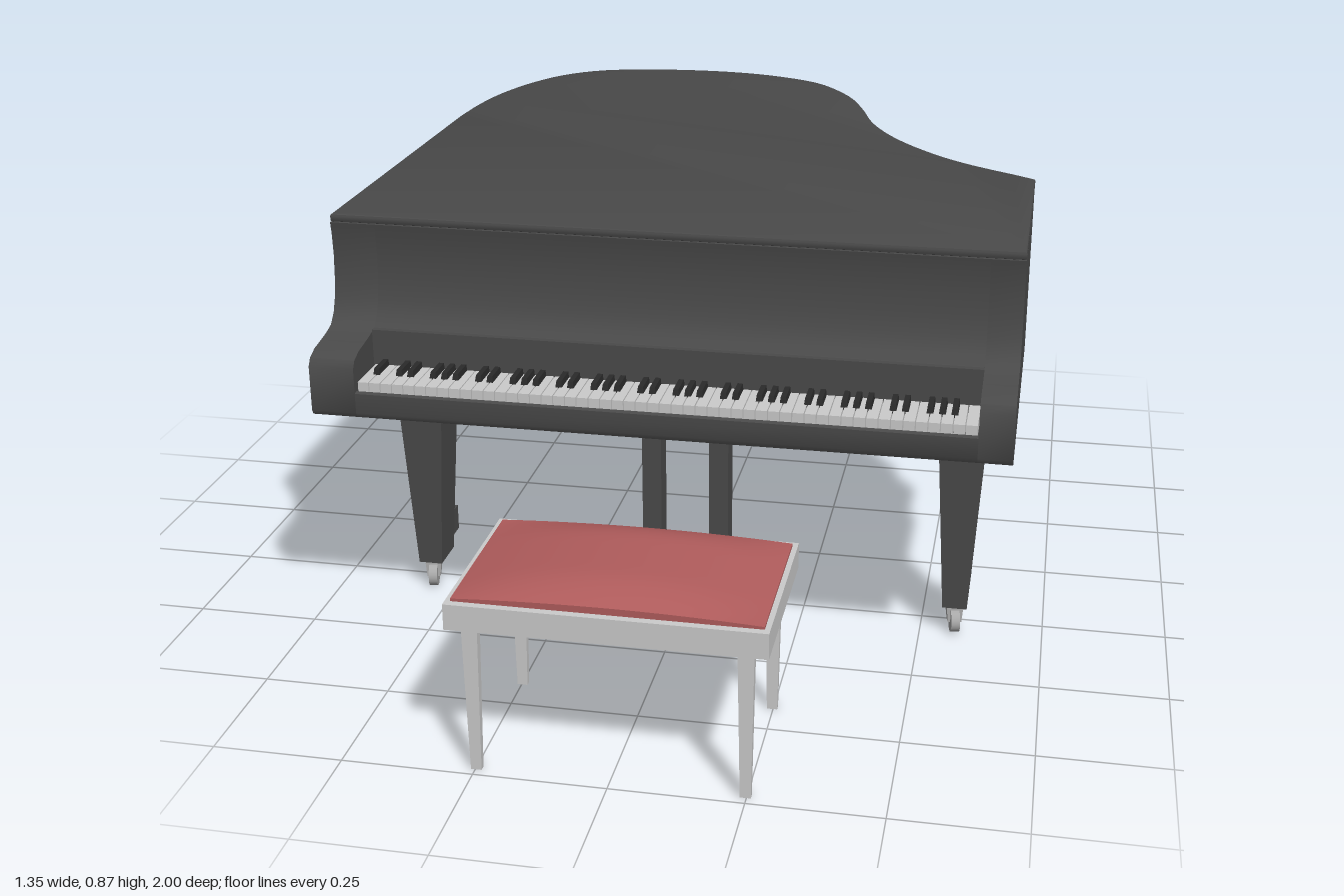
import * as THREE from 'three';
import { toCreasedNormals } from 'three/addons/utils/BufferGeometryUtils.js';

const mat = (color) => new THREE.MeshStandardMaterial({ color });
const ebony = mat(0x4a4a4a), grey = mat(0xcccccc), black = mat(0x2a2a2a);
const metal = mat(0xaaaaaa), leather = mat(0xb05c5c);

function add(parent, name, geometry, material = ebony) {
  const mesh = new THREE.Mesh(geometry, material);
  mesh.name = name;
  parent.add(mesh);
  return mesh;
}

// Box given by its limits on each axis
function box(x0, x1, y0, y1, z0, z1) {
  return new THREE.BoxGeometry(x1 - x0, y1 - y0, z1 - z0)
    .translate((x0 + x1) / 2, (y0 + y1) / 2, (z0 + z1) / 2);
}

// Box with a different footprint [x0, x1, z0, z1] at bottom and top
function taper(y0, y1, bottom, top) {
  const g = new THREE.BoxGeometry(1, 1, 1), p = g.attributes.position;
  for (let i = 0; i < p.count; i++) {
    const f = p.getY(i) > 0 ? top : bottom;
    p.setXYZ(i, p.getX(i) > 0 ? f[1] : f[0], p.getY(i) > 0 ? y1 : y0, p.getZ(i) > 0 ? f[3] : f[2]);
  }
  g.computeVertexNormals();
  return g;
}

// Side profile of [z, y] points, extruded from x0 to x1
function sideExtrude(points, x0, x1) {
  const shape = new THREE.Shape(points.map(([z, y]) => new THREE.Vector2(z, y)));
  const g = new THREE.ExtrudeGeometry(shape, { depth: x1 - x0, bevelEnabled: false });
  return toCreasedNormals(g.rotateY(-Math.PI / 2).translate(x1, 0, 0), 0.6);
}

// Wing-shaped plan: straight bass side, round tail, S-curved treble side
function planShape(frontZ, inset) {
  const w = 0.675 - inset;
  const curve = new THREE.CatmullRomCurve3([
    [-0.675, -0.4], [-0.668, -0.52], [-0.65, -0.64], [-0.61, -0.77], [-0.55, -0.88], [-0.47, -0.95],
    [-0.36, -0.985], [-0.22, -1], [-0.1, -0.992], [0, -0.965], [0.11, -0.905], [0.2, -0.78],
    [0.25, -0.65], [0.29, -0.51], [0.35, -0.385], [0.43, -0.275], [0.52, -0.185], [0.675, -0.08],
  ].map(([x, z]) => new THREE.Vector3(x, 0, z)));
  const s = new THREE.Shape();
  s.moveTo(w, -frontZ);
  s.lineTo(w, 0.08 - inset);
  const pts = curve.getPoints(60).reverse();
  const last = pts.length - 1;
  pts.forEach((p, i) => {
    if (i === 0) return;
    // shift each point inwards along the curve normal
    const t = pts[Math.min(i + 1, last)].clone().sub(pts[i - 1]).normalize();
    s.lineTo(p.x + t.z * inset, -(p.z - t.x * inset));
  });
  s.lineTo(-w, -frontZ);
  return s;
}

function caster(parent, x, z) {
  const g = new THREE.Group();
  g.name = 'caster';
  add(g, 'casterWheel', new THREE.CylinderGeometry(0.025, 0.025, 0.018, 20).rotateZ(Math.PI / 2).translate(0, 0.025, 0), metal);
  add(g, 'casterFork', taper(0.022, 0.065, [-0.014, 0.014, -0.012, 0.006], [-0.018, 0.018, -0.03, 0.005]), metal);
  g.position.set(x, 0, z);
  g.rotation.y = 0.2;
  parent.add(g);
}

function createKeyboard() {
  const g = new THREE.Group();
  g.name = 'keyboard';
  const x0 = -0.583, pitch = 1.191 / 52;
  for (let i = 0; i < 52; i++) {
    const x = x0 + i * pitch;
    add(g, 'whiteKey', box(x + 0.001, x + pitch - 0.001, 0.55, 0.58, 0.47, 0.588), grey);
    // sharps are missing after every B and E (first key is A)
    if (i < 51 && ![1, 4].includes(i % 7)) {
      const c = x + pitch;
      add(g, 'blackKey', taper(0.575, 0.592, [c - 0.007, c + 0.007, 0.47, 0.545], [c - 0.005, c + 0.005, 0.47, 0.54]), black);
    }
  }
  return g;
}

function createCase() {
  const g = new THREE.Group();
  g.name = 'case';
  // Curved rim
  const rim = new THREE.ExtrudeGeometry(planShape(-0.03, 0.005), { depth: 0.241, bevelEnabled: false });
  add(g, 'rim', toCreasedNormals(rim.rotateX(-Math.PI / 2).translate(0, 0.61, 0), 0.6));
  // Lid with a softened edge
  const lid = new THREE.ExtrudeGeometry(planShape(0.434, 0.004), {
    depth: 0.008, bevelThickness: 0.004, bevelSize: 0.004, bevelSegments: 2,
  });
  add(g, 'lid', toCreasedNormals(lid.rotateX(-Math.PI / 2).translate(0, 0.857, 0), 0.5));
  // S-shaped cheeks at both ends, fallboard between them
  const sweep = [[0.475, 0.652], [0.456, 0.672], [0.444, 0.7], [0.437, 0.74], [0.434, 0.785], [0.437, 0.83], [0.441, 0.853]];
  const cheek = [[-0.035, 0.853], [-0.035, 0.51], [0.595, 0.51], [0.6, 0.52], [0.6, 0.61], [0.59, 0.625],
    [0.565, 0.635], [0.53, 0.64], [0.5, 0.645], ...sweep];
  add(g, 'rightCheek', sideExtrude(cheek, -0.675, -0.585));
  add(g, 'leftCheek', sideExtrude(cheek, 0.61, 0.675));
  add(g, 'fallboard', sideExtrude([[-0.035, 0.853], [-0.035, 0.51], [0.595, 0.51], [0.6, 0.52], [0.6, 0.56],
    [0.59, 0.562], [0.588, 0.55], [0.488, 0.55], [0.488, 0.652], ...sweep], -0.585, 0.61));
  // Stepped underside of the key bed
  add(g, 'keyBed', taper(0.47, 0.512, [-0.672, 0.672, 0.1, 0.478], [-0.675, 0.675, 0.1, 0.48]));
  add(g, 'keyBedSlope', taper(0.448, 0.47, [-0.62, 0.62, 0.18, 0.38], [-0.64, 0.64, 0.1, 0.478]));
  add(g, 'legRail', taper(0.43, 0.448, [-0.605, 0.615, 0.19, 0.345], [-0.62, 0.62, 0.18, 0.365]));
  return g;
}

function createLegs() {
  const g = new THREE.Group();
  g.name = 'legs';
  for (const x of [-0.553, 0.57]) {
    add(g, 'frontLeg', taper(0.06, 0.42, [x - 0.025, x + 0.025, 0.235, 0.318], [x - 0.046, x + 0.046, 0.22, 0.33]));
    add(g, 'frontLegFlare', taper(0.4, 0.44, [x - 0.046, x + 0.046, 0.22, 0.33], [x - 0.06, x + 0.06, 0.205, 0.345]));
    add(g, 'frontLegBlock', box(x - 0.027, x + 0.027, 0.09, 0.145, 0.2, 0.25));
    caster(g, x, 0.3);
  }
  const x = -0.222, z = -0.85;
  add(g, 'rearLeg', taper(0.06, 0.51, [x - 0.024, x + 0.024, z - 0.03, z + 0.03], [x - 0.052, x + 0.052, z - 0.05, z + 0.05]));
  // Stepped plinth, each layer smaller than the one above
  [[0.572, 0.615, 0.18, 0.1], [0.535, 0.572, 0.155, 0.08], [0.5, 0.535, 0.13, 0.064]].forEach(([y0, y1, w, d]) =>
    add(g, 'rearLegPlinth', box(x - w, x + w, y0, y1, z - d, z + d)));
  caster(g, x, -0.855);
  return g;
}

function createPedals() {
  const g = new THREE.Group();
  g.name = 'pedalLyre';
  add(g, 'pedalBox', box(-0.102, 0.115, 0.03, 0.09, 0.235, 0.325));
  add(g, 'pedalBoxTop', taper(0.09, 0.11, [-0.102, 0.115, 0.235, 0.325], [-0.09, 0.103, 0.24, 0.318]));
  for (const x of [-0.067, 0.074]) {
    add(g, 'lyrePost', box(x - 0.02, x + 0.02, 0.1, 0.44, 0.25, 0.3));
  }
  add(g, 'lyreCrossbar', box(-0.06, 0.06, 0.408, 0.42, 0.262, 0.288));
  for (const x of [-0.061, 0.007, 0.075]) {
    const pedal = new THREE.CapsuleGeometry(0.014, 0.06, 6, 12).rotateX(Math.PI / 2).scale(1, 0.4, 1);
    add(g, 'pedal', pedal.translate(x, 0.062, 0.336), black);
  }
  return g;
}

function createBench() {
  const g = new THREE.Group();
  g.name = 'bench';
  add(g, 'benchFrame', box(-0.29, 0.29, 0.292, 0.342, 0.645, 1), grey);
  for (const sx of [-1, 1]) for (const sz of [-1, 1]) {
    const x = sx * 0.248, z = 0.824 + sz * 0.153;
    add(g, 'benchLeg', taper(0, 0.3, [x - 0.01, x + 0.01, z - 0.006, z + 0.006], [x - 0.015, x + 0.015, z - 0.009, z + 0.009]), grey);
  }
  // Domed cushion
  const cushion = new THREE.BoxGeometry(0.56, 0.006, 0.326, 20, 1, 16), p = cushion.attributes.position;
  for (let i = 0; i < p.count; i++) {
    if (p.getY(i) < 0) continue;
    const u = p.getX(i) / 0.28, v = Math.abs(p.getZ(i) / 0.163);
    const side = Math.min(1, (1 - v) / 0.6);
    p.setY(i, 0.003 + 0.033 * (1 - u * u) * (0.25 + 0.75 * side * (2 - side)));
  }
  add(g, 'cushion', toCreasedNormals(cushion.translate(0, 0.344, 0.8225), 0.6), leather);
  return g;
}

export function createModel() {
  const model = new THREE.Group();
  model.name = 'grandPiano';
  model.add(createCase(), createKeyboard(), createLegs(), createPedals(), createBench());
  return model;
}
